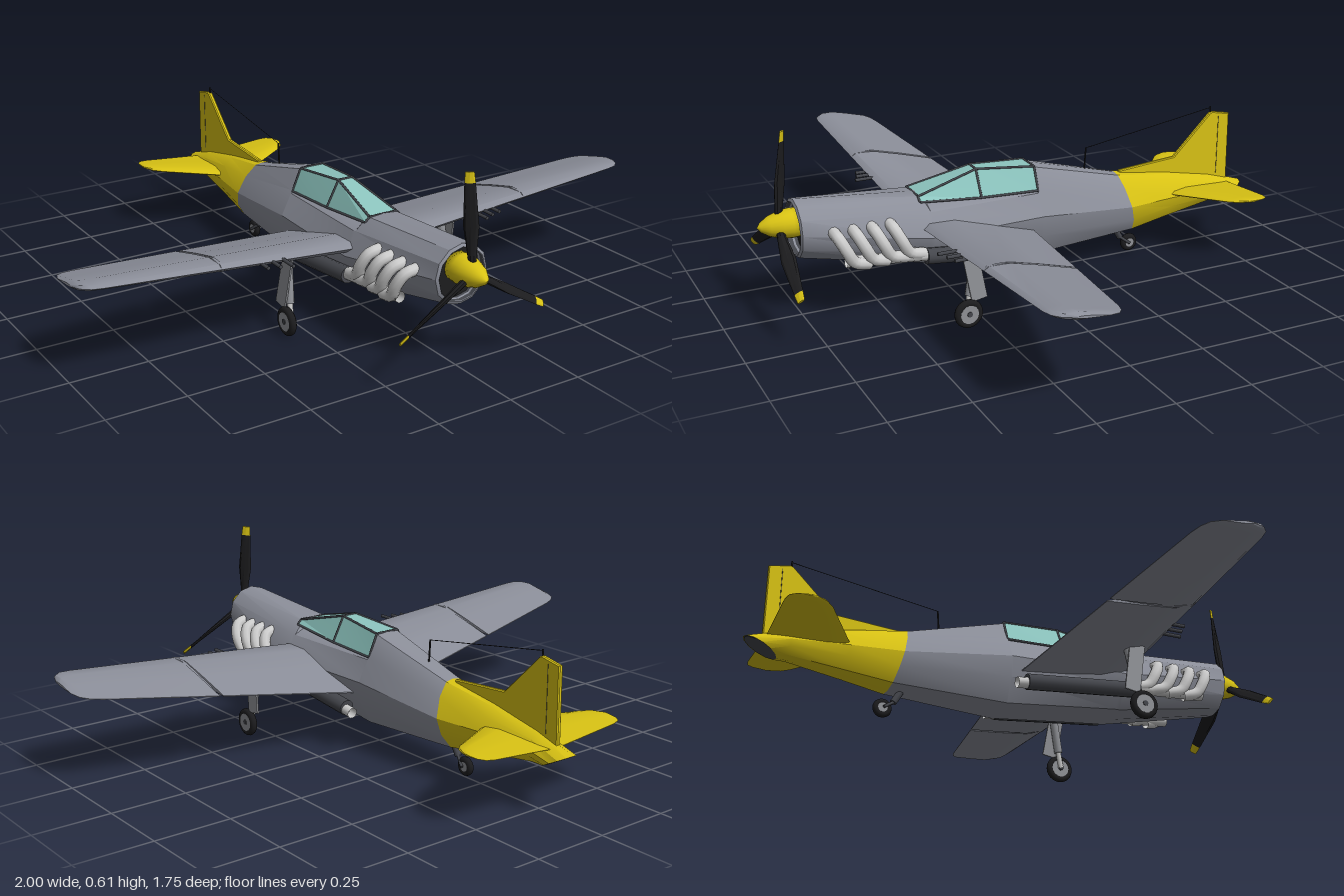
import * as THREE from 'three';
import { toCreasedNormals } from 'three/addons/utils/BufferGeometryUtils.js';

const mat = (color) => new THREE.MeshStandardMaterial({ color, side: THREE.DoubleSide });
const GREY = mat(0x8b8e99), YELLOW = mat(0xd8c214), GLASS = mat(0x8cc4be);
const BLACK = mat(0x1c1c1e), DARK = mat(0x44464c), STEEL = mat(0x8f9196), LIGHT = mat(0xcccccc);
const V = (x, y, z) => new THREE.Vector3(x, y, z);

function add(parent, name, geo, material) {
  const m = new THREE.Mesh(geo, material);
  m.name = name;
  parent.add(m);
  return m;
}

// Skin a list of equal-sized rings, with optional end caps
function loft(rings, { caps = true, flip = false, crease = 0.5 } = {}) {
  const n = rings[0].length, pos = rings.flat().flatMap((p) => [p.x, p.y, p.z]), idx = [];
  const tri = (a, b, c) => (flip ? idx.push(a, c, b) : idx.push(a, b, c));
  for (let i = 0; i < rings.length - 1; i++)
    for (let j = 0; j < n; j++) {
      const a = i * n + j, b = i * n + ((j + 1) % n);
      tri(a, b, b + n);
      tri(a, b + n, a + n);
    }
  const last = (rings.length - 1) * n;
  if (caps) for (let j = 1; j < n - 1; j++) {
    tri(0, j + 1, j);
    tri(last, last + j, last + j + 1);
  }
  const g = new THREE.BufferGeometry();
  g.setAttribute('position', new THREE.Float32BufferAttribute(pos, 3));
  g.setIndex(idx);
  return toCreasedNormals(g, crease);
}

// Full ring from a right-half outline; slant tilts the cut in z
function ring(z, half, slant = 0, yc = 0) {
  const p = (x, y) => V(x, y, z + slant * (y - yc));
  return [...half.map(([x, y]) => p(x, y)), ...half.slice(1, -1).reverse().map(([x, y]) => p(-x, y))];
}

// Straight round rod between two points
function bar(parent, name, a, b, r, material, sides = 8, r2 = r) {
  const d = b.clone().sub(a);
  const m = add(parent, name, new THREE.CylinderGeometry(r2, r, d.length(), sides), material);
  m.position.copy(a).addScaledVector(d, 0.5);
  m.quaternion.setFromUnitVectors(V(0, 1, 0), d.normalize());
  return m;
}

function tube(parent, name, pts, r, material) {
  return add(parent, name, new THREE.TubeGeometry(new THREE.CatmullRomCurve3(pts), 14, r, 10), material);
}

function fuselage(g) {
  const nose = (k) => [[0, 0.388], [0.045, 0.376], [0.08, 0.342], [0.092, 0.295], [0.08, 0.246], [0.045, 0.21], [0, 0.2]]
    .map(([x, y]) => [x * k, 0.295 + (y - 0.295) * k]);
  const seam = ring(-0.39, [[0, 0.305], [0.028, 0.3], [0.062, 0.262], [0.088, 0.2], [0.08, 0.15], [0.05, 0.105], [0, 0.095]], 0.25, 0.2);
  const lower = [[0.132, 0.235], [0.115, 0.18], [0.07, 0.13], [0, 0.122]];
  add(g, 'fuselage', loft([
    ring(0.745, nose(0.86)),
    ring(0.765, nose(0.9)),
    ring(0.76, nose(1)),
    ring(0.36, [[0, 0.352], [0.05, 0.348], [0.095, 0.31], ...lower]),
    ring(0.345, [[0, 0.325], [0.06, 0.325], [0.095, 0.308], ...lower]),
    ring(-0.038, [[0, 0.315], [0.06, 0.315], [0.08, 0.305], [0.117, 0.235], [0.108, 0.165], [0.07, 0.09], [0, 0.085]]),
    ring(-0.041, [[0, 0.388], [0.042, 0.383], [0.076, 0.315], [0.117, 0.235], [0.108, 0.165], [0.07, 0.09], [0, 0.085]]),
    seam,
  ], { caps: false }), GREY);
  add(g, 'noseIntake', loft([ring(0.764, nose(0.88)), ring(0.7, nose(0.84))], { flip: true, caps: false }), DARK);
  add(g, 'intakeBack', loft([ring(0.735, nose(0.87)), ring(0.73, nose(0.87))]), BLACK);

  // Tail cone ends in a slanted oval
  const oval = (k) => [0, 1, 2, 3, 4, 5, 6].map((i) => {
    const a = (i * Math.PI) / 6;
    return [0.042 * k * Math.sin(a), 0.172 + 0.028 * k * Math.cos(a)];
  });
  add(g, 'tailCone', loft([
    seam,
    ring(-0.56, [[0, 0.278], [0.02, 0.272], [0.048, 0.245], [0.067, 0.2], [0.06, 0.165], [0.038, 0.126], [0, 0.118]]),
    ring(-0.74, [[0, 0.243], [0.014, 0.238], [0.035, 0.222], [0.05, 0.195], [0.044, 0.173], [0.026, 0.15], [0, 0.143]]),
    ring(-0.825, oval(1), -1.9, 0.172),
  ], { caps: false }), YELLOW);
  add(g, 'tailEnd', loft([ring(-0.822, oval(1), -1.9, 0.172), ring(-0.827, oval(0.9), -1.9, 0.172)]), DARK);
}

function canopy(g) {
  const secs = [[0.37, 0.05, 0.35, 0.066, 0.335], [0.16, 0.026, 0.402, 0.07, 0.318], [-0.04, 0.043, 0.386, 0.075, 0.312]];
  add(g, 'canopyGlass', loft(secs.map(([z, tw, ty, bw, by]) => ring(z, [[0, ty], [tw, ty], [bw, by], [0, by]])), { crease: 0.2 }), GLASS);
  const top = (i, s) => V(s * secs[i][1], secs[i][2], secs[i][0]);
  const base = (i, s) => V(s * secs[i][3], secs[i][4], secs[i][0]);
  for (const s of [-1, 1])
    for (let i = 0; i < 3; i++) {
      bar(g, 'canopyFrame', top(i, s), base(i, s), 0.004, DARK, 6);
      if (s > 0) bar(g, 'canopyFrame', top(i, 1), top(i, -1), 0.004, DARK, 6);
      if (i < 2) {
        bar(g, 'canopyFrame', top(i, s), top(i + 1, s), 0.004, DARK, 6);
        bar(g, 'canopyFrame', base(i, s), base(i + 1, s), 0.004, DARK, 6);
      }
    }
}

// Airfoil loop from trailing edge over the top: [chord fraction, thickness]
const FOIL = [[1, 0.06], [0.6, 0.65], [0.28, 1], [0.06, 0.6], [0, 0], [0.06, -0.45], [0.28, -0.75], [0.6, -0.5], [1, -0.06]];
// Stations are [x, leading z, trailing z, half thickness]; height(x, z) sets the chord plane
function surface(stations, s, height) {
  return loft(stations.map(([x, le, te, t]) => FOIL.map(([f, h]) => {
    const z = le + (te - le) * f;
    return V(s * x, height(x, z) + h * t, z);
  })), { flip: s < 0, crease: 0.7 });
}

function wing(g, s) {
  const te = (x) => 0.19 * (x - 0.14);
  const height = (x, z) => {
    const k = (x - 0.14) / 0.86, lead = 0.265 + 0.068 * k, trail = 0.195 + 0.11 * k;
    return lead + ((0.38 - z) / (0.38 - te(x))) * (trail - lead);
  };
  const th = (x) => 0.034 - 0.02 * x;
  // Notch in the trailing edge between flap and aileron
  const st = [[0.08, 0.38], [0.14, 0.38], [0.555, 0.38], [0.556, 0.38, 0.145], [0.566, 0.38, 0.145], [0.567, 0.38],
    [0.93, 0.38], [0.965, 0.374, 0.162], [0.988, 0.352, 0.18], [1, 0.315, 0.215, 0.005]]
    .map(([x, le, t = te(x), h = th(x)]) => [x, le, t, h]);
  add(g, 'wing', surface(st, s, height), GREY);
  [[0.36, 0.435], [0.395, 0.42], [0.43, 0.41]].forEach(([x, z]) =>
    bar(g, 'wingGun', V(s * x, 0.282, 0.36), V(s * x, 0.282, z), 0.006, DARK));
}

function tailplane(g, s) {
  add(g, 'tailplane', surface([[0, -0.53, -0.812, 0.014], [0.06, -0.56, -0.812, 0.014], [0.24, -0.665, -0.812, 0.009],
    [0.268, -0.69, -0.805, 0.008], [0.282, -0.72, -0.785, 0.005], [0.286, -0.74, -0.76, 0.003]],
  s, (x) => 0.205 + 0.09 * x), YELLOW);
}

function fin(g) {
  const sh = new THREE.Shape([[0.38, 0.27], [0.385, 0.305], [0.6, 0.322], [0.742, 0.462], [0.75, 0.465], [0.816, 0.452], [0.818, 0.2], [0.7, 0.2]]
    .map(([x, y]) => new THREE.Vector2(x, y)));
  const geo = new THREE.ExtrudeGeometry(sh, { depth: 0.008, bevelSize: 0.003, bevelThickness: 0.004, bevelSegments: 1 });
  geo.translate(0, 0, -0.004).rotateY(Math.PI / 2);
  add(g, 'fin', geo, YELLOW);
  for (const s of [-1, 1]) bar(g, 'rudderSeam', V(s * 0.008, 0.24, -0.775), V(s * 0.008, 0.45, -0.775), 0.001, DARK, 4);
  // Aerial wire with its two masts
  bar(g, 'aerialMast', V(0, 0.33, -0.25), V(0, 0.405, -0.255), 0.003, BLACK, 6);
  bar(g, 'finMast', V(0, 0.45, -0.745), V(0, 0.486, -0.745), 0.003, BLACK, 6);
  bar(g, 'aerialWire', V(0, 0.405, -0.255), V(0, 0.482, -0.745), 0.0012, BLACK, 4);
}

function propeller(g) {
  const p = new THREE.Group();
  p.name = 'propeller';
  p.position.set(0, 0.312, 0.81);
  g.add(p);
  const profile = [[0.0, -0.07], [0.045, -0.07], [0.047, -0.04], [0.044, -0.01], [0.032, 0.028], [0.015, 0.055], [0, 0.066]];
  add(p, 'spinner', new THREE.LatheGeometry(profile.map(([r, y]) => new THREE.Vector2(r, y)), 20).rotateX(Math.PI / 2), YELLOW);
  const disc = new THREE.Group();
  disc.name = 'blades';
  disc.rotation.x = -0.1;
  p.add(disc);
  // Blade sections: radius, chord, pitch
  const sec = (r, c, pitch) => Array.from({ length: 8 }, (_, i) => {
    const a = (i * Math.PI) / 4, x = Math.cos(a) * c / 2, z = -Math.sin(a) * Math.max(0.004, 0.012 - r * 0.03);
    return V(x * Math.cos(pitch) - z * Math.sin(pitch), r, x * Math.sin(pitch) + z * Math.cos(pitch));
  });
  const end = sec(0.265, 0.032, 0.75);
  for (let i = 0; i < 3; i++) {
    const b = new THREE.Group();
    b.name = 'blade';
    b.rotation.z = (i * Math.PI * 2) / 3;
    disc.add(b);
    add(b, 'bladeBody', loft([sec(0.02, 0.022, 1.1), sec(0.06, 0.03, 1.1), sec(0.14, 0.048, 1), end]), BLACK);
    add(b, 'bladeTip', loft([end, sec(0.297, 0.026, 0.7)]), YELLOW);
  }
}

function exhaust(g, s) {
  for (const z of [0.665, 0.605, 0.545, 0.485])
    tube(g, 'exhaustStack', [V(s * 0.085, 0.295, z), V(s * 0.125, 0.285, z - 0.005), V(s * 0.142, 0.245, z - 0.025),
      V(s * 0.138, 0.205, z - 0.05), V(s * 0.132, 0.19, z - 0.1)], 0.019, LIGHT);
  tube(g, 'exhaustCollector', [V(s * 0.125, 0.205, 0.64), V(s * 0.132, 0.188, 0.42), V(s * 0.138, 0.155, 0.15), V(s * 0.14, 0.134, -0.035)], 0.018, LIGHT);
  bar(g, 'exhaustShroud', V(s * 0.133, 0.18, 0.38), V(s * 0.137, 0.143, 0), 0.026, DARK, 12);
}

function wheel(g, name, x, y, z, r, w) {
  const tyre = add(g, name, new THREE.TorusGeometry(r - w / 2, w / 2, 10, 24), BLACK);
  const hub = add(g, name + 'Hub', new THREE.CylinderGeometry(r - w * 0.7, r - w * 0.7, w * 0.9, 16).rotateZ(Math.PI / 2), STEEL);
  tyre.rotation.y = Math.PI / 2;
  for (const m of [tyre, hub]) m.position.set(x, y, z);
}

function mainGear(g, s) {
  bar(g, 'gearLeg', V(s * 0.288, 0.26, 0.28), V(s * 0.298, 0.1, 0.308), 0.014, STEEL, 10);
  bar(g, 'gearPiston', V(s * 0.298, 0.11, 0.306), V(s * 0.3, 0.045, 0.318), 0.009, LIGHT, 10);
  bar(g, 'gearAxle', V(s * 0.296, 0.048, 0.318), V(s * 0.328, 0.048, 0.318), 0.009, DARK);
  const door = add(g, 'gearDoor', new THREE.BoxGeometry(0.006, 0.17, 0.052), STEEL);
  door.position.set(s * 0.309, 0.172, 0.295);
  door.rotation.set(0.17, 0, s * 0.06);
  wheel(g, 'mainWheel', s * 0.315, 0.047, 0.318, 0.047, 0.024);
}

function tailGear(g) {
  bar(g, 'tailLeg', V(0, 0.12, -0.36), V(0, 0.06, -0.395), 0.011, DARK);
  for (const s of [-1, 1]) bar(g, 'tailFork', V(0, 0.062, -0.393), V(s * 0.015, 0.036, -0.428), 0.005, DARK);
  wheel(g, 'tailWheel', 0, 0.036, -0.43, 0.031, 0.022);
}

export function createModel() {
  const g = new THREE.Group();
  g.name = 'propellerPlane';
  fuselage(g);
  canopy(g);
  fin(g);
  propeller(g);
  tailGear(g);
  for (const s of [-1, 1]) for (const part of [wing, tailplane, exhaust, mainGear]) part(g, s);
  return g;
}
